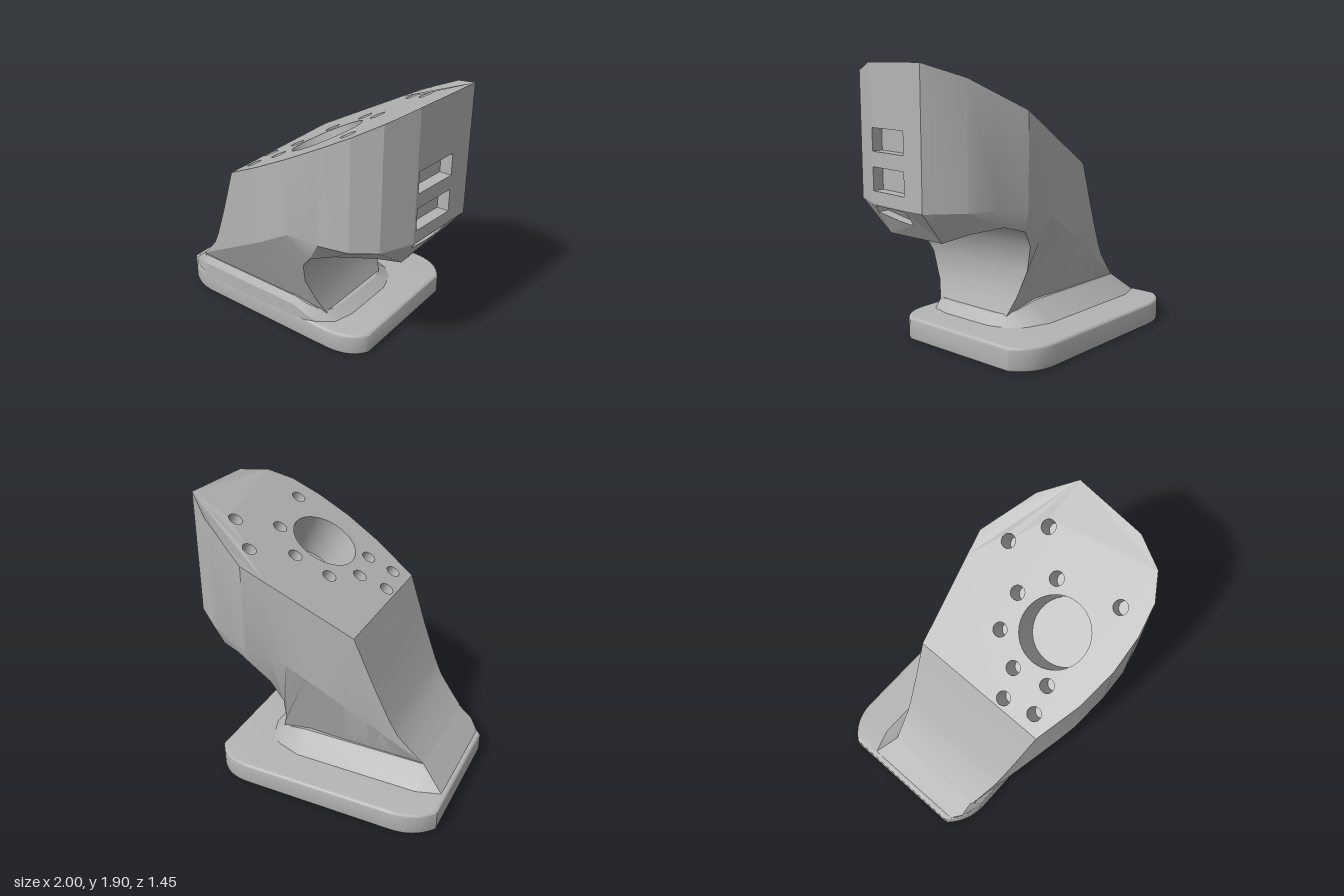
import * as THREE from 'three';
import { toCreasedNormals } from 'three/addons/utils/BufferGeometryUtils.js';

const grey = new THREE.MeshStandardMaterial({ color: 0xb4b4b4 });
grey.name = 'machined grey';

const V = (x, y, z) => new THREE.Vector3(x, y, z);

// Skin between rows of points; each row runs to the right, the next row lies below it.
function skin(rows, closed = false, crease = 0.35) {
  const pos = [];
  const tri = (a, b, c) => {
    const area = b.clone().sub(a).cross(c.clone().sub(a)).length();
    if (area > 1e-8) for (const p of [a, b, c]) pos.push(p.x, p.y, p.z);
  };
  for (let r = 0; r < rows.length - 1; r++) {
    const n = rows[r].length;
    for (let i = 0; i < (closed ? n : n - 1); i++) {
      const j = (i + 1) % n;
      tri(rows[r][i], rows[r + 1][i], rows[r + 1][j]);
      tri(rows[r][i], rows[r + 1][j], rows[r][j]);
    }
  }
  const g = new THREE.BufferGeometry();
  g.setAttribute('position', new THREE.Float32BufferAttribute(pos, 3));
  g.computeVertexNormals();
  return toCreasedNormals(g, crease);
}

// Flat outline with holes, each 2D point moved into place by a rule.
function sheet(outline, holes, place) {
  const shape = new THREE.Shape(outline);
  shape.holes = holes.map((h) => new THREE.Path(h));
  const g = new THREE.ShapeGeometry(shape).toNonIndexed();
  const p = g.attributes.position;
  for (let i = 0; i < p.count; i++) {
    const q = place(p.getX(i), p.getY(i));
    p.setXYZ(i, q.x, q.y, q.z);
  }
  g.computeVertexNormals();
  return g;
}

// Blind recess behind a counter-clockwise rim.
function recess(rim, shift) {
  const ring = [...rim].reverse();
  const floor = ring.map((p) => p.clone().add(shift));
  const mid = floor.reduce((s, p) => s.add(p), V(0, 0, 0)).divideScalar(floor.length);
  return skin([ring, floor, floor.map(() => mid)], true, 0.6);
}

// Piecewise linear lookup
function lerpTable(t, x) {
  let i = 0;
  while (i < t.length - 2 && x > t[i + 1][0]) i++;
  const [[x0, y0], [x1, y1]] = [t[i], t[i + 1]];
  return y0 + ((y1 - y0) * (x - x0)) / (x1 - x0);
}
const frontZ = (x) => lerpTable([[-0.8, 0.43], [-0.31, 0.59], [0, 0.685], [0.27, 0.72],
  [0.5, 0.708], [0.7, 0.66], [0.85, 0.55], [0.95, 0.33]], x);
const backZ = (x) => lerpTable([[-0.8, -0.335], [-0.31, -0.42], [0.43, -0.55],
  [0.79, -0.38], [1, -0.2]], x);
const topY = (x) => Math.min(1.9, 1.2 + 0.556 * (x + 0.31));

export function createModel() {
  const model = new THREE.Group();
  model.name = 'angledMount';
  const add = (name, geometry) => {
    const m = new THREE.Mesh(geometry, grey);
    m.name = name;
    model.add(m);
  };

  // Base plate with softened corners
  const s = new THREE.Shape();
  s.moveTo(-0.7, -0.47);
  s.lineTo(0.37, -0.47);
  s.quadraticCurveTo(0.58, -0.47, 0.65, -0.33);
  s.lineTo(0.65, 0.57);
  s.quadraticCurveTo(0.56, 0.73, 0.36, 0.73);
  s.lineTo(-0.72, 0.73);
  s.quadraticCurveTo(-0.9, 0.73, -1, 0.59);
  s.lineTo(-1, -0.34);
  s.quadraticCurveTo(-0.88, -0.47, -0.7, -0.47);
  const b = 0.018;
  const plate = new THREE.ExtrudeGeometry(s, { depth: 0.16 - 2 * b, bevelThickness: b,
    bevelSize: b, bevelOffset: -b, bevelSegments: 3, curveSegments: 10 });
  plate.rotateX(-Math.PI / 2).translate(0, b, 0);
  add('basePlate', toCreasedNormals(plate, 0.6));

  // Sloped skirt joining the plate and the neck
  const mid = [[-1, 0.13, 0.33], [-0.9, 0.215, 0.42], [-0.75, 0.245, 0.47], [0.1, 0.245, 0.47],
    [0.2, 0.205, 0.465], [0.28, 0.16, 0.44], [0.38, 0.16, 0.36], [0.42, 0.16, 0.22],
    [0.42, 0.16, -0.18], [0.37, 0.16, -0.33], [0.28, 0.16, -0.41], [0.1, 0.16, -0.47],
    [-0.8, 0.16, -0.47], [-0.99, 0.14, -0.43]].map((p) => V(...p));
  const upper = [[-0.8, 0.3, 0.4], [-0.8, 0.3, 0.42], [-0.78, 0.297, 0.44], [0.1, 0.297, 0.44],
    [0.19, 0.27, 0.43], [0.26, 0.245, 0.4], [0.32, 0.225, 0.34], [0.34, 0.22, 0.25],
    [0.34, 0.22, -0.18], [0.31, 0.225, -0.25], [0.24, 0.25, -0.3], [0.1, 0.297, -0.34],
    [-0.78, 0.297, -0.335], [-0.8, 0.3, -0.335]].map((p) => V(...p));
  const low = mid.map((p) => V(p.x, 0.1, p.z));
  const centre = V(-0.3, 0.29, 0.05);
  add('skirt', skin([upper.map(() => centre), upper, mid, low], true, 0.45));

  // Body stations: top x, top y, crease x front, crease x back, crease y,
  // underside x, y, front z, back z
  const nf = (y) => 0.38 + 0.452 * (y - 0.23);
  const nb = (y) => -0.27 - 0.38 * (y - 0.23);
  const stations = [
    [-0.8, 0.3, -0.8, -0.8, 0.3, -0.8, 0.25, 0.41, -0.31],
    [-0.73, 0.37, -0.65, -0.65, 0.398, -0.6, 0.25, 0.41, -0.31],
    [-0.62, 0.49, -0.5, -0.5, 0.496, -0.4, 0.25, 0.41, -0.31],
    [-0.56, 0.6, -0.4, -0.4, 0.562, -0.2, 0.25, 0.41, -0.31],
    [-0.45, 0.85, -0.25, -0.25, 0.66, 0.05, 0.25, 0.41, -0.3],
    [-0.31, 1.2, -0.1, -0.1, 0.758, 0.32, 0.21, nf(0.21), nb(0.21)],
    [0, 0, 0.02, 0.02, 0.836, 0.27, 0.34, nf(0.34), nb(0.34)],
    [0.15, 0, 0.15, 0.15, 0.92, 0.245, 0.53, nf(0.53), nb(0.53)],
    [0.27, 0, 0.27, 0.27, 1, 0.3, 0.72, nf(0.72), nb(0.72)],
    [0.5, 0, 0.5, 0.43, 1, 0.4, 0.84, 0.66, -0.5],
    [0.7, 0, 0.7, 0.61, 1, 0.55, 0.885, 0.6, -0.45],
    [0.85, 0, 0.85, 0.79, 1, 0.74, 0.855, 0.42, -0.34],
    [0.95, 0, 0.95, 1, 1, 0.84, 0.795, 0.28, -0.2],
  ];
  const row = (f) => stations.map((q, k) => f(q, k));
  const topF = row(([x, y]) => V(x, y || topY(x), frontZ(x)));
  const topB = row(([x, y, , xb], k) => (k > 7
    ? V(xb, topY(xb), backZ(xb)) : V(x, y || topY(x), backZ(x))));
  const creaseF = row((q) => V(q[2], q[4], frontZ(q[2])));
  const creaseB = row((q) => V(q[3], q[4], backZ(q[3])));
  const botF = row((q) => V(q[5], q[6], q[7]));
  const botB = row((q) => V(q[5], q[6], q[8]));
  add('frontWall', skin([topF, creaseF, botF]));
  add('backWall', skin([botB, creaseB, topB]));
  add('neckUnderside', skin([botF.slice(4), botB.slice(4)], false, 0.62));
  add('slopedSide', skin([topB.slice(0, 6), topF.slice(0, 6)]));

  // Tilted top face with the bore and bolt holes
  const tilt = Math.atan(0.556);
  const circle = (x, z, r, n) => Array.from({ length: n }, (_, i) => {
    const a = (i / n) * Math.PI * 2;
    return new THREE.Vector2(x + r * Math.cos(tilt) * Math.cos(a), -z + r * Math.sin(a));
  });
  const onTop = (x, y) => V(x, topY(x), -y);
  const bolts = [[0.48, -0.345], [0.68, -0.18], [0.28, -0.09], [0.05, -0.04], [0.48, 0.065],
    [-0.075, 0.185], [-0.25, 0.255], [-0.03, 0.435], [-0.205, 0.48], [0.57, 0.505]];
  const rims = [circle(0.235, 0.265, 0.242, 40), ...bolts.map(([x, z]) => circle(x, z, 0.05, 16))];
  const outline = [...topF.slice(5), ...topB.slice(5).reverse()]
    .map((p) => new THREE.Vector2(p.x, -p.z));
  add('topFace', sheet(outline, rims, onTop));
  rims.forEach((rim, i) => {
    const depth = i ? 0.2 : 0.32;
    add(i ? 'boltHole' : 'mainBore', recess(rim.map((p) => onTop(p.x, p.y)),
      V(Math.sin(tilt) * depth, -Math.cos(tilt) * depth, 0)));
  });

  // End wall and chin with three slots
  const onEnd = (u, y) => {
    const wall = 0.95 + ((0.33 + u) * 0.05) / 0.53;
    const t = Math.max(0, (1 - y) / 0.205);
    return V(wall * (1 - t) + 0.84 * t, y, -u);
  };
  const pts = (list) => list.map(([z, y]) => new THREE.Vector2(-z, y));
  const slot = (y0, y1) => pts([[0.31, y0], [-0.02, y0], [-0.02, y1], [0.31, y1]]);
  const wallSlots = [slot(1.34, 1.49), slot(1.085, 1.24)];
  const chinSlot = pts([[0.3, 0.945], [0.1, 0.905], [-0.02, 0.895], [-0.02, 0.988], [0.3, 0.988]]);
  add('endWall', sheet(pts([[0.33, 1], [-0.2, 1], [-0.2, 1.9], [0.33, 1.9]]), wallSlots, onEnd));
  add('chin', sheet(pts([[0.28, 0.795], [-0.2, 0.795], [-0.2, 1], [0.33, 1]]), [chinSlot], onEnd));
  for (const rim of [...wallSlots, chinSlot]) {
    add('slot', recess(rim.map((p) => onEnd(p.x, p.y)), V(-0.08, 0, 0)));
  }
  return model;
}
